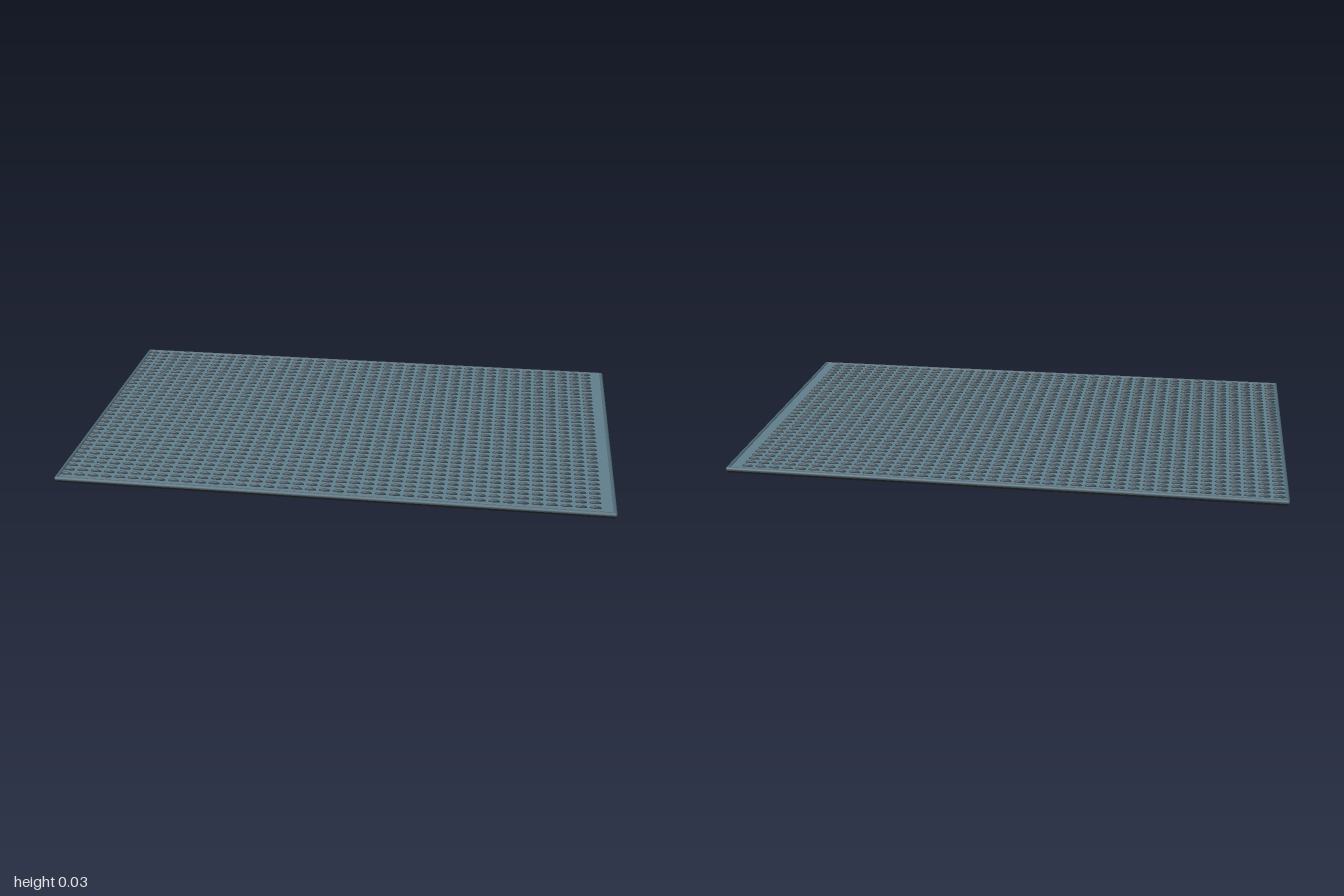
import * as THREE from 'three';
import { mergeGeometries } from 'three/addons/utils/BufferGeometryUtils.js';
import { RoundedBoxGeometry } from 'three/addons/geometries/RoundedBoxGeometry.js';

const HALF_X = 1, HALF_Z = 0.622;

export function createModel() {
  const group = new THREE.Group();
  group.name = 'mat';
  const add = (name, geometry, color) => {
    const mesh = new THREE.Mesh(geometry, new THREE.MeshStandardMaterial({ color }));
    mesh.name = name;
    group.add(mesh);
  };

  // thin dark rubber underside
  const backing = new THREE.BoxGeometry(1.986, 0.008, 1.23);
  backing.translate(0, 0.004, 0);
  add('backing', backing, 0x1a1a1a);

  // woven field
  const field = new RoundedBoxGeometry(1.99, 0.012, 1.234, 2, 0.004);
  field.translate(0, 0.012, 0);
  add('field', field, 0x607d8b);

  // rounded binding along the four edges, with ball corners
  const r = 0.0075, y = 0.0145;
  const rim = [];
  for (const s of [-1, 1]) {
    const long = new THREE.CylinderGeometry(r, r, 2 * (HALF_X - r), 12);
    rim.push(long.rotateZ(Math.PI / 2).translate(0, y, s * (HALF_Z - r)));
    const short = new THREE.CylinderGeometry(r, r, 2 * (HALF_Z - r), 12);
    rim.push(short.rotateX(Math.PI / 2).translate(s * (HALF_X - r), y, 0));
    for (const t of [-1, 1]) {
      rim.push(new THREE.SphereGeometry(r, 12, 8).translate(s * (HALF_X - r), y, t * (HALF_Z - r)));
    }
  }
  add('binding', mergeGeometries(rim), 0x4f6874);

  // raised stitches in a regular grid, leaving a plain strip at the left end
  const stitch = new THREE.SphereGeometry(1, 8, 6).scale(0.021, 0.009, 0.0055);
  const stitches = [];
  const rows = 35, columns = 39;
  for (let i = 0; i < rows; i++) {
    for (let j = 0; j < columns; j++) {
      stitches.push(stitch.clone().translate(-0.965 + j * 0.0498, 0.0185, -0.589 + i * 0.0345));
    }
  }
  add('stitches', mergeGeometries(stitches), 0x37474f);

  return group;
}
